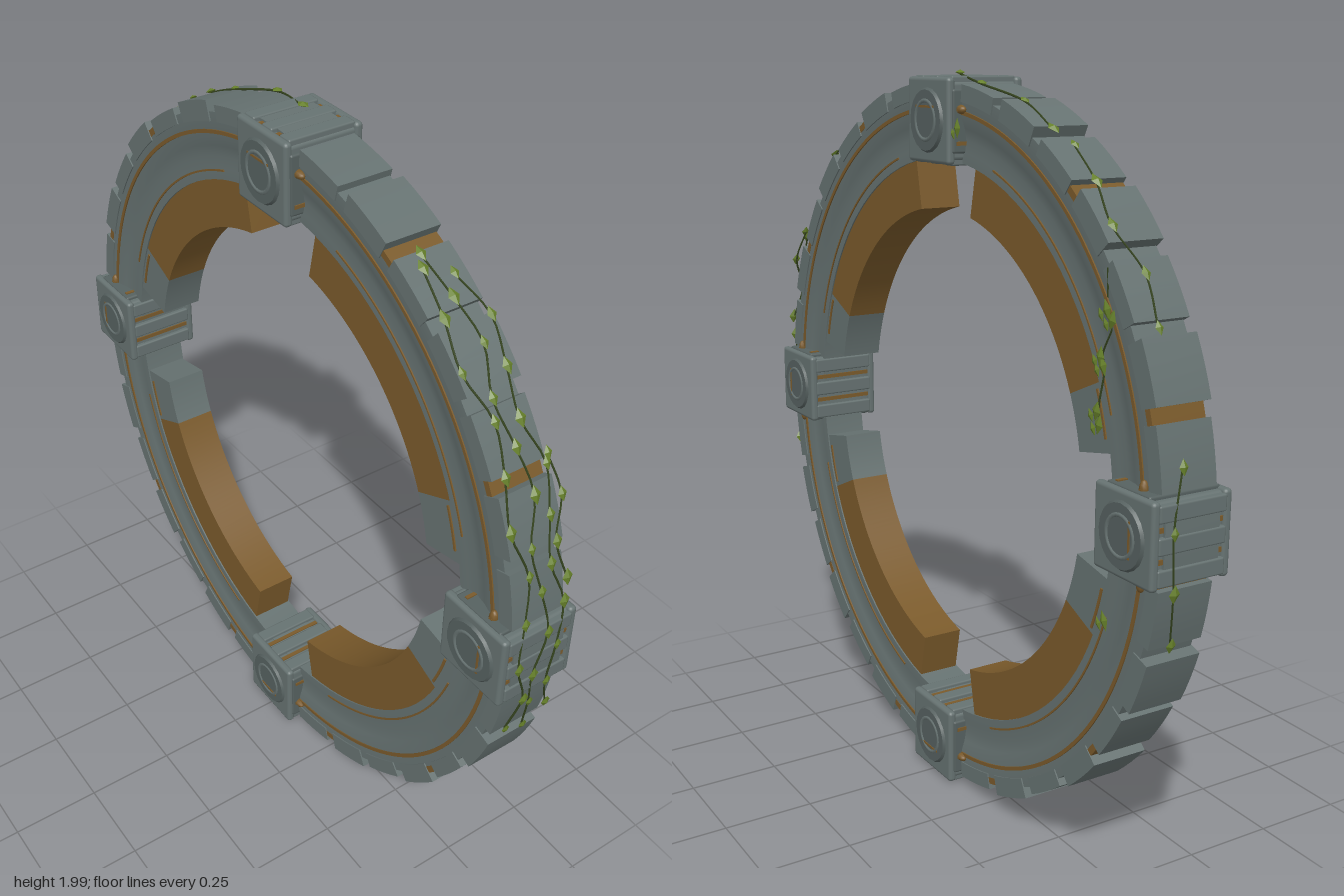
import * as THREE from 'three';
import { toCreasedNormals } from 'three/addons/utils/BufferGeometryUtils.js';
import { RoundedBoxGeometry } from 'three/addons/geometries/RoundedBoxGeometry.js';

const RAD = Math.PI / 180;

function material(name, color) {
  const m = new THREE.MeshStandardMaterial({ color });
  m.name = name;
  return m;
}

// Block between two radii and two angles (degrees), lying in XY and centred on z
function sector(r0, r1, a0, a1, depth, z = 0, segments = 8) {
  const shape = new THREE.Shape();
  shape.absarc(0, 0, r1, a0 * RAD, a1 * RAD, false);
  shape.absarc(0, 0, r0, a1 * RAD, a0 * RAD, true);
  const g = new THREE.ExtrudeGeometry(shape, { depth, bevelEnabled: false, curveSegments: segments });
  return toCreasedNormals(g.translate(0, 0, z - depth / 2), 0.3);
}

export function createModel() {
  const stone = material('grey stone', 0x667271);
  const darkStone = material('dark stone', 0x566160);
  const bronze = material('bronze', 0x7a5a2b);
  const leafGreen = material('leaf green', 0x66802a);
  const vineGreen = material('vine green', 0x36451f);

  const model = new THREE.Group();
  model.name = 'stoneRing';

  // The ring is built in XY around z, then turned so its axis runs along x
  const ring = new THREE.Group();
  ring.name = 'ring';
  ring.rotation.y = Math.PI / 2;
  ring.position.set(-0.005, 0.997, 0);
  model.add(ring);

  function add(name, geometry, mat, parent = ring) {
    const mesh = new THREE.Mesh(geometry, mat);
    mesh.name = name;
    parent.add(mesh);
    return mesh;
  }

  // Main ring with shallow dished sides
  const half = [[0.955, 0.074], [0.89, 0.074], [0.865, 0.066], [0.835, 0.061], [0.805, 0.064], [0.775, 0.064]];
  const profile = [...half, ...half.map(([r, h]) => [r, -h]).reverse(), half[0]];
  const body = new THREE.LatheGeometry(profile.map(([r, h]) => new THREE.Vector2(r, h)), 96);
  body.rotateX(Math.PI / 2);
  add('ringBody', toCreasedNormals(body, 0.5), stone);

  // Rim plates with narrow gaps, a few of them lined with bronze
  for (let i = 0; i < 32; i++) {
    const a = i * 11.25;
    const top = i % 2 ? 0.974 : 0.984;
    add('rimPlate', sector(0.93, top, a - 4.5, a + 4.5, 0.155, 0, 2), stone);
    if (i % 3 === 1) add('gapLining', sector(0.94, 0.958, a + 4.5, a + 6.75, 0.15, 0, 1), bronze);
  }

  // Inlaid lines on both sides
  for (const s of [-1, 1]) {
    add('outerInlay', sector(0.899, 0.909, 0, 359.99, 0.006, s * 0.0745, 96), bronze);
    for (let q = 0; q < 4; q++) {
      add('innerInlay', sector(0.797, 0.802, q * 90 + 18, q * 90 + 72, 0.006, s * 0.064, 20), bronze);
    }
  }

  // Four inner arcs, each with a stone end beside the horizontal clamps
  for (let q = 0; q < 4; q++) {
    const flip = q % 2 === 1;
    const span = (from, to) => (flip ? [q * 90 + 90 - to, q * 90 + 90 - from] : [q * 90 + from, q * 90 + to]);
    const [b0, b1] = span(24, 78.5);
    const [e0, e1] = span(11.5, 24);
    add('innerArc', sector(0.645, 0.776, b0, b1, 0.12, 0, 20), bronze);
    add('innerArcEnd', sector(0.645, 0.776, e0, e1, 0.12, 0, 6), stone);
    const [l0, l1] = span(14, 23);
    for (const s of [-1, 1]) add('endInlay', sector(0.756, 0.763, l0, l1, 0.006, s * 0.0605, 6), bronze);
  }

  // Clamp, local x pointing away from the ring centre
  function clamp() {
    const g = new THREE.Group();
    g.name = 'clamp';
    add('clampCore', new RoundedBoxGeometry(0.2, 0.2, 0.2, 2, 0.012), stone, g);
    for (const s of [-1, 1]) {
      add('clampCheek', new RoundedBoxGeometry(0.218, 0.21, 0.024, 2, 0.01).translate(0, 0, s * 0.101), stone, g);
      const disc = new THREE.CylinderGeometry(0.078, 0.084, 0.008, 20).rotateX(s * Math.PI / 2);
      add('clampDisc', toCreasedNormals(disc.translate(0, 0, s * 0.116), 0.6), darkStone, g);
      add('clampBoss', new THREE.TorusGeometry(0.05, 0.007, 6, 24).translate(0, 0, s * 0.117), stone, g);
      // ridges across the outer and inner faces
      for (const y of [-0.075, 0, 0.075]) {
        add('clampRidge', new RoundedBoxGeometry(0.024, 0.042, 0.19, 1, 0.005).translate(s * 0.1, y, 0), stone, g);
      }
      for (const y of [-0.037, 0.037]) {
        add('clampStripe', new THREE.BoxGeometry(0.008, 0.012, 0.185).translate(s * 0.1, y, 0), bronze, g);
      }
      // flanges and pins where the clamp meets the ring
      add('clampFlange', new RoundedBoxGeometry(0.16, 0.02, 0.2, 1, 0.006).translate(0, s * 0.1, 0), darkStone, g);
      for (const x of [-0.055, 0.03]) {
        add('sideStripe', new THREE.BoxGeometry(0.01, 0.006, 0.18).translate(x, s * 0.11, 0), bronze, g);
      }
      for (const t of [-1, 1]) {
        add('clampPin', new THREE.SphereGeometry(0.012, 8, 6).scale(1, 1.8, 1).translate(0.03, s * 0.112, t * 0.078), bronze, g);
      }
      add('sideInlay', new THREE.BoxGeometry(0.006, 0.09, 0.006).translate(0.035, 0, s * 0.119), bronze, g);
    }
    return g;
  }
  for (let q = 0; q < 4; q++) {
    const c = clamp();
    c.rotation.z = q * Math.PI / 2;
    c.position.set(0.875 * Math.cos(c.rotation.z), 0.875 * Math.sin(c.rotation.z), 0);
    ring.add(c);
  }

  // Ivy: thin stems with small diamond leaves
  const leaf = new THREE.OctahedronGeometry(1).toNonIndexed();
  leaf.computeVertexNormals();
  function addLeaf(p, angle, flat, size) {
    const m = add('leaf', leaf, leafGreen);
    m.position.copy(p);
    m.rotation.z = angle;
    if (flat) m.scale.set(0.6 * size, size, 0.25 * size);
    else m.scale.set(0.3 * size, size, 0.65 * size);
  }
  const polar = (r, deg, z) => new THREE.Vector3(r * Math.cos(deg * RAD), r * Math.sin(deg * RAD), z);
  function stem(points) {
    add('vine', new THREE.TubeGeometry(new THREE.CatmullRomCurve3(points), 40, 0.003, 4), vineGreen);
  }

  // Vines over the rim: [start angle, end angle, z offset, leaf count]
  const rimVines = [
    [194, 122, -0.05, 11], [196, 120, 0.0, 12], [192, 124, 0.05, 11], [168, 150, 0.075, 4],
    [58, 28, 0.03, 5], [10, -15, 0.045, 4], [88, 62, 0.04, 4],
  ];
  rimVines.forEach(([a0, a1, z, n], v) => {
    const points = [];
    for (let i = 0; i < n; i++) {
      const a = a0 + (a1 - a0) * i / (n - 1);
      const dz = z + 0.02 * Math.sin(i * 2.1 + v);
      const nearClamp = Math.abs(((a % 90) + 135) % 90 - 45) < 7.5;
      const r = nearClamp ? 0.992 : 0.986;
      points.push(polar(r, a, dz));
      addLeaf(polar(r + 0.004, a, dz), a * RAD, false, 0.018 + 0.006 * ((i * 3 + v) % 4) / 3);
    }
    stem(points);
  });

  // Vine hanging on the left face
  const hanging = [[0.13, 0.86], [0.75, 0.49], [0.77, 0.47], [0.73, 0.38], [0.74, 0.36], [0.72, 0.25], [0.73, 0.22], [0.77, -0.25]];
  hanging.forEach(([x, y], i) => {
    const z = i === 0 ? 0.1 : 0.078;
    addLeaf(new THREE.Vector3(x, y, z), 0.4 * Math.sin(i * 2), true, 0.026);
    addLeaf(new THREE.Vector3(x - 0.022, y - 0.014, z), 0.5, true, 0.018);
  });
  stem([polar(0.95, 38, 0.077), ...hanging.slice(1, 7).map(([x, y]) => new THREE.Vector3(x, y, 0.072))]);

  return model;
}
